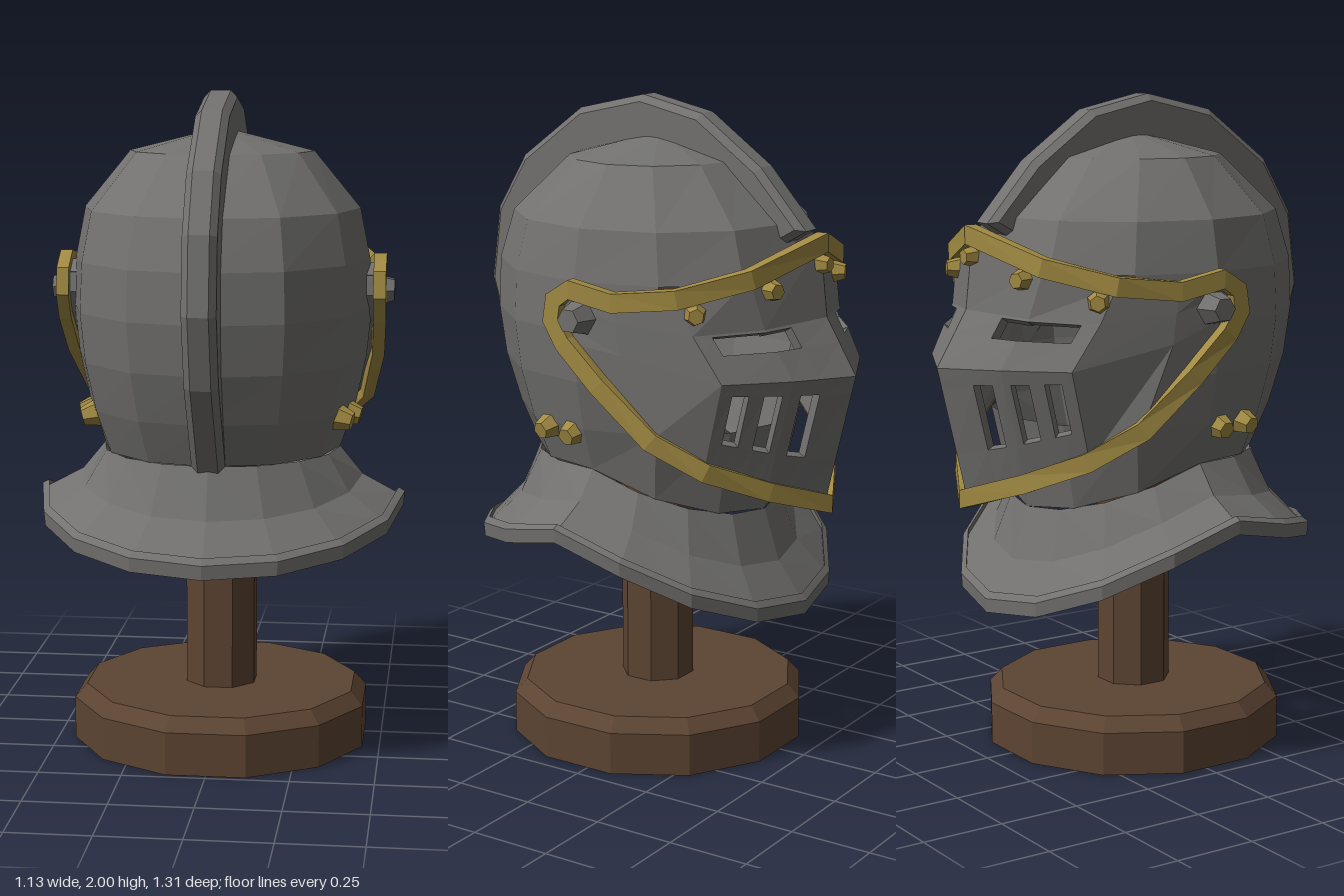
import * as THREE from 'three';

const V = (x, y, z) => new THREE.Vector3(x, y, z);
const mat = (name, color) => {
  const m = new THREE.MeshStandardMaterial({ color, flatShading: true, side: THREE.DoubleSide });
  m.name = name;
  return m;
};
const CZ = 0.03; // centre of the skull in z

// Flat-faced geometry from a list of quads
function quads(list) {
  const p = [];
  for (const [a, b, c, d] of list) for (const v of [a, b, c, a, c, d]) p.push(v.x, v.y, v.z);
  const g = new THREE.BufferGeometry();
  g.setAttribute('position', new THREE.Float32BufferAttribute(p, 3));
  g.computeVertexNormals();
  return g;
}

// Joins rows of points into quads; skip(i, j) leaves openings
function loft(rows, closeRows = false, closeCols = true, skip = () => false) {
  const out = [], n = rows.length, m = rows[0].length;
  for (let i = 0; i < (closeRows ? n : n - 1); i++)
    for (let j = 0; j < (closeCols ? m : m - 1); j++) {
      if (skip(i, j)) continue;
      const a = rows[i], b = rows[(i + 1) % n], k = (j + 1) % m;
      out.push([a[j], a[k], b[k], b[j]]);
    }
  return out;
}

// Six outward-facing sides of a block with outer corners o and inner corners n
function block(o, n) {
  const faces = [[...o], [...n]];
  for (let i = 0; i < 4; i++) faces.push([o[i], o[(i + 1) % 4], n[(i + 1) % 4], n[i]]);
  const mid = (l) => l.reduce((s, v) => s.add(v), V(0, 0, 0)).divideScalar(l.length);
  const c = mid([...o, ...n]);
  return faces.map((f) => {
    const nor = f[2].clone().sub(f[0]).cross(f[3].clone().sub(f[1]));
    return nor.dot(mid(f).sub(c)) < 0 ? f.reverse() : f;
  });
}

// Thick panel on corners a b c d (u: a to b, v: a to d) with holes [u0, u1, v0, v1]
function panel([a, b, c, d], holes = [], thick = 0.035) {
  const at = (u, v) => a.clone().lerp(b, u).lerp(d.clone().lerp(c, u), v);
  const nor = c.clone().sub(a).cross(d.clone().sub(b)).normalize();
  if (nor.dot(at(0.5, 0.5).sub(V(0, 1.2, 0.1))) > 0) nor.negate();
  nor.multiplyScalar(thick);
  const cuts = (k) => [...new Set([0, 1, ...holes.flatMap((h) => [h[k], h[k + 1]])])].sort((x, y) => x - y);
  const us = cuts(0), vs = cuts(2), out = [];
  for (let i = 0; i < us.length - 1; i++)
    for (let j = 0; j < vs.length - 1; j++) {
      const u = (us[i] + us[i + 1]) / 2, v = (vs[j] + vs[j + 1]) / 2;
      if (holes.some((h) => u > h[0] && u < h[1] && v > h[2] && v < h[3])) continue;
      const o = [at(us[i], vs[j]), at(us[i + 1], vs[j]), at(us[i + 1], vs[j + 1]), at(us[i], vs[j + 1])];
      out.push(...block(o, o.map((p) => p.clone().add(nor))));
    }
  return out;
}

export function createModel() {
  const model = new THREE.Group();
  const steel = mat('steel', 0x72716f), brass = mat('brass', 0xa18a42), wood = mat('wood', 0x5c4432);
  const add = (name, geo, m, x = 0, y = 0, z = 0) => {
    const mesh = new THREE.Mesh(geo, m);
    mesh.name = name;
    mesh.position.set(x, y, z);
    model.add(mesh);
    return mesh;
  };

  // Wooden stand
  const baseProfile = [[0, 0], [0.463, 0], [0.463, 0.13], [0.425, 0.172], [0, 0.172]];
  add('standBase', new THREE.LatheGeometry(baseProfile.map((p) => new THREE.Vector2(...p)), 12), wood, 0, 0, 0.035)
    .rotation.y = Math.PI / 12;
  add('standPost', new THREE.CylinderGeometry(0.114, 0.114, 1.35, 8), wood, 0, 0.82, 0.04).rotation.y = Math.PI / 8;

  // Neck edge drops towards the face
  const neckY = (z) => 0.92 - 0.15 * Math.min(1, Math.max(0, (CZ - z) / 0.38));

  // Skull: rings of [y, half width, half depth], open at the face
  const rings = [[0.92, 0.365, 0.38], [1.05, 0.41, 0.44], [1.2, 0.442, 0.49], [1.35, 0.457, 0.512],
    [1.5, 0.45, 0.505], [1.65, 0.42, 0.455], [1.82, 0.28, 0.27], [1.89, 0.001, 0.001]];
  const skull = rings.map(([y, rx, rz], i) => Array.from({ length: 12 }, (_, j) => {
    const t = j * Math.PI / 6, z = CZ + rz * Math.cos(t);
    return V(rx * Math.sin(t), i ? y : neckY(z), z);
  }));
  add('skull', quads(loft(skull, false, true, (i, j) => i >= 1 && i <= 3 && j >= 4 && j <= 7)), steel);

  // Collar: flares from the neck edge to a lipped rim; section of [out, down, lift]
  const section = [[0, 0, 0], [0.35, 0.55, 0], [0.9, 0.93, 0], [0.9, 0.93, 0.018], [1, 1, 0.018],
    [0.98, 1, -0.025], [0.35, 0.55, -0.035], [-0.06, 0, -0.02]];
  const collar = section.map(([f, g, lift]) => Array.from({ length: 16 }, (_, j) => {
    const t = j * Math.PI / 8, s = Math.sin(t), c = Math.cos(t);
    const nz = CZ + 0.38 * c, rz = CZ + (c > 0 ? 0.55 : 0.53) * c;
    const rimY = 0.765 - (c > 0 ? 0.12 * c : 0.28 * Math.pow(-c, 1.3));
    return V(0.365 * s + f * 0.2 * s, neckY(nz) + g * (rimY - neckY(nz)) + lift, nz + f * (rz - nz));
  }));
  add('collar', quads(loft(collar, true)), steel);

  // Crest: bevelled comb following the skull from nape to brow; points are [z, y]
  const outer = [[0.4, 0.92], [0.57, 1.18], [0.63, 1.39], [0.6, 1.61], [0.5, 1.775], [0.29, 1.93],
    [0.07, 1.98], [-0.13, 1.937], [-0.33, 1.795], [-0.47, 1.64]];
  const inner = [[-0.4, 1.6], [-0.27, 1.7], [-0.12, 1.81], [0.06, 1.84], [0.26, 1.78], [0.42, 1.65],
    [0.5, 1.5], [0.5, 1.35], [0.45, 1.18], [0.36, 0.94]];
  const comb = new THREE.Shape([...outer, ...inner].map(([z, y]) => new THREE.Vector2(-z, y)));
  const crestGeo = new THREE.ExtrudeGeometry(comb, {
    depth: 0.06, bevelEnabled: true, bevelThickness: 0.02, bevelSize: 0.02, bevelSegments: 1,
  });
  crestGeo.translate(0, 0, -0.03).rotateY(Math.PI / 2);
  add('crest', crestGeo, steel);

  // Visor columns from the nose ridge to the pivot: brow, slit, beak and chin points
  const cols = [
    [[0, 1.605, -0.53], [0, 1.385, -0.555], [0, 1.22, -0.655], [0, 0.82, -0.56]],
    [[0.25, 1.525, -0.44], [0.22, 1.375, -0.475], [0.2, 1.23, -0.56], [0.18, 0.885, -0.465]],
    [[0.4, 1.475, -0.29], [0.39, 1.37, -0.34], [0.37, 1.235, -0.425], [0.345, 0.965, -0.35]],
    [[0.452, 1.455, -0.11], [0.452, 1.39, -0.12], [0.45, 1.3, -0.13], [0.425, 1.055, -0.22]],
    [[0.475, 1.485, 0.02], [0.475, 1.45, 0.07], [0.475, 1.39, 0.08], [0.475, 1.325, 0.04]],
  ];
  const holes = { // column,row: eye slits and breathing slots
    '0,1': [[0.6, 1, 0.05, 0.42]], '1,1': [[0, 0.75, 0.05, 0.42]],
    '0,2': [[0.52, 0.82, 0.13, 0.66]],
    '1,2': [[0.1, 0.36, 0.13, 0.66], [0.58, 0.82, 0.13, 0.66]],
  };
  for (const s of [1, -1]) {
    const pt = (c, r) => V(s * cols[c][r][0], cols[c][r][1], cols[c][r][2]);
    const faces = [];
    for (let c = 0; c < 4; c++)
      for (let r = 0; r < 3; r++)
        faces.push(...panel([pt(c, r), pt(c + 1, r), pt(c + 1, r + 1), pt(c, r + 1)], holes[`${c},${r}`]));
    add(s > 0 ? 'visorLeft' : 'visorRight', quads(faces), steel);
  }

  // Brass trim: one closed band round the visor edge
  const half = [...cols.map((c) => c[0]), cols[4][1], cols[4][2], cols[4][3], [0.465, 1.21, -0.07],
    cols[3][3], cols[2][3], cols[1][3], cols[0][3]].map((p) => V(...p));
  const path = [...half, ...half.slice(1, -1).reverse().map((p) => V(-p.x, p.y, p.z))];
  const band = path.map((p, i) => {
    const n = path.length;
    const t = path[(i + 1) % n].clone().sub(path[(i + n - 1) % n]).normalize();
    const out = V(p.x, 0, Math.min(0, p.z)).normalize();
    out.addScaledVector(t, -out.dot(t)).normalize();
    const side = t.clone().cross(out);
    return [[-1, -0.012], [-1, 0.026], [1, 0.026], [1, -0.012]]
      .map(([w, h]) => p.clone().addScaledVector(side, w * 0.028).addScaledVector(out, h));
  });
  add('visorTrim', quads(loft(band, true)), brass);

  // Rivets and pivot bolts, each pointing outwards
  const stud = (name, m, pos, dir, r, h) => {
    const mesh = add(name, new THREE.CylinderGeometry(r * 0.65, r, h, 6), m, ...pos);
    mesh.quaternion.setFromUnitVectors(V(0, 1, 0), V(...dir).normalize());
  };
  stud('browRivet', brass, [0, 1.54, -0.54], [0, 0, -1], 0.034, 0.045);
  for (const s of [1, -1]) {
    stud('browRivet', brass, [s * 0.19, 1.485, -0.485], [s * 0.4, 0, -1], 0.036, 0.045);
    stud('browRivet', brass, [s * 0.385, 1.43, -0.345], [s, 0, -0.8], 0.036, 0.045);
    for (const z of [0.08, 0.185])
      stud('neckRivet', brass, [s * (z > 0.1 ? 0.385 : 0.405), 1.03, z], [s, -0.25, z], 0.042, 0.05);
    stud('pivotBolt', steel, [s * 0.49, 1.4, 0], [s, 0, 0], 0.056, 0.07);
  }
  return model;
}
